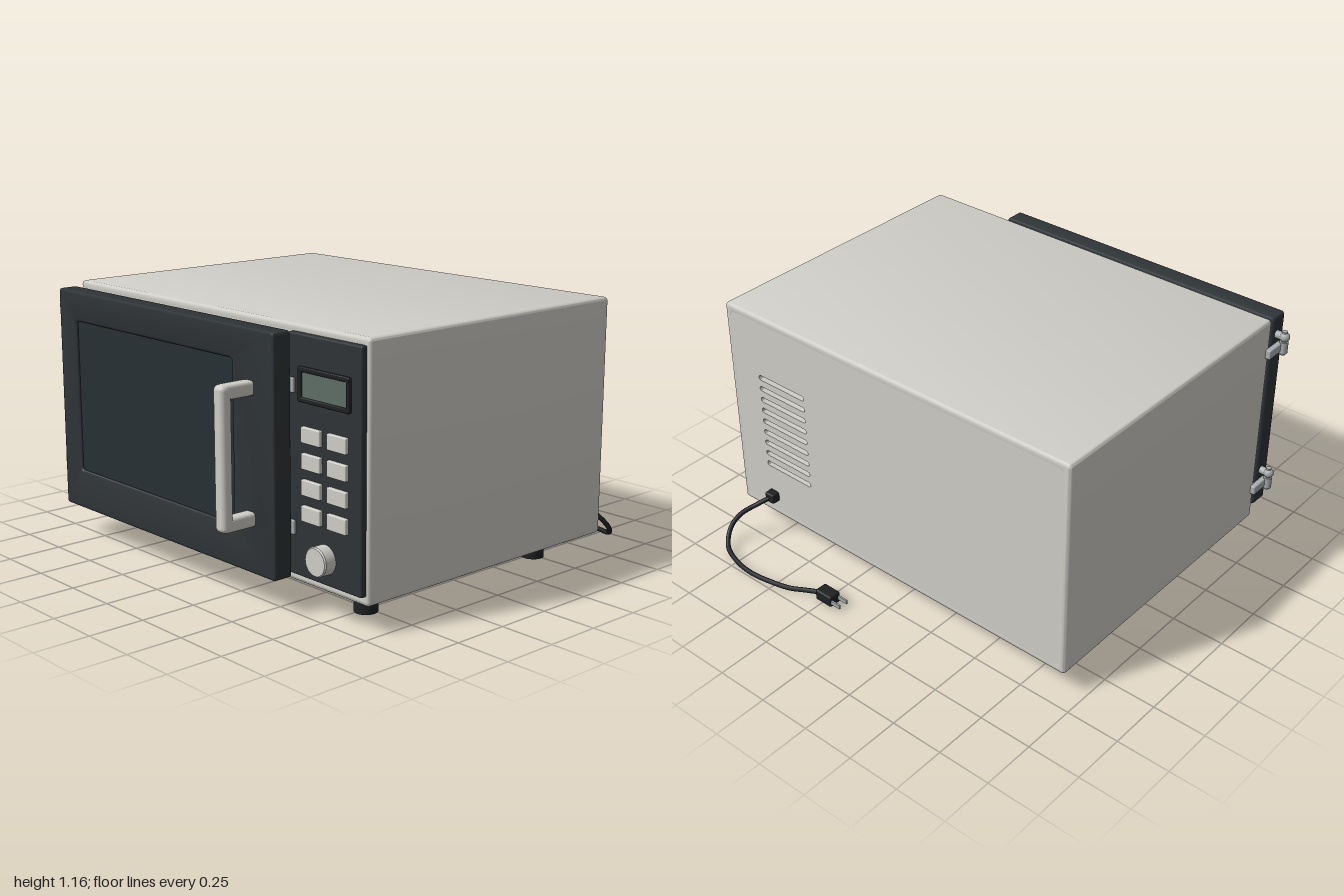
import * as THREE from 'three';
import { RoundedBoxGeometry } from 'three/addons/geometries/RoundedBoxGeometry.js';
import { toCreasedNormals } from 'three/addons/utils/BufferGeometryUtils.js';

const mat = (color) => new THREE.MeshStandardMaterial({ color });
const shellMat = mat(0xd0cec8), doorMat = mat(0x2f3437), glassMat = mat(0x263033);
const blackMat = mat(0x1e2022), screenMat = mat(0x5d6e66), metalMat = mat(0xa9adae);
const liningMat = mat(0x9a9a96);
liningMat.side = THREE.BackSide;

function add(parent, name, geometry, material, x = 0, y = 0, z = 0) {
  const mesh = new THREE.Mesh(geometry, material);
  mesh.name = name;
  mesh.position.set(x, y, z);
  parent.add(mesh);
  return mesh;
}

function group(parent, name) {
  const g = new THREE.Group();
  g.name = name;
  parent.add(g);
  return g;
}

// Box given by its limits, with optional rounded edges
function block(parent, name, material, [x0, x1], [y0, y1], [z0, z1], r = 0) {
  const size = [x1 - x0, y1 - y0, z1 - z0];
  const geo = r ? new RoundedBoxGeometry(...size, 3, r) : new THREE.BoxGeometry(...size);
  return add(parent, name, geo, material, (x0 + x1) / 2, (y0 + y1) / 2, (z0 + z1) / 2);
}

// Rounded rectangle outline, used for shapes and holes
function roundRect(x0, x1, y0, y1, r, Type = THREE.Shape) {
  const s = new Type();
  s.moveTo(x0 + r, y0);
  s.lineTo(x1 - r, y0);
  s.absarc(x1 - r, y0 + r, r, -Math.PI / 2, 0);
  s.lineTo(x1, y1 - r);
  s.absarc(x1 - r, y1 - r, r, 0, Math.PI / 2);
  s.lineTo(x0 + r, y1);
  s.absarc(x0 + r, y1 - r, r, Math.PI / 2, Math.PI);
  s.lineTo(x0, y0 + r);
  s.absarc(x0 + r, y0 + r, r, Math.PI, Math.PI * 1.5);
  return s;
}

// Extrude between two z values, keeping the bevel inside the outline
function slab(shape, z0, z1, bevel = 0) {
  const geo = new THREE.ExtrudeGeometry(shape, {
    depth: z1 - z0 - 2 * bevel, bevelEnabled: bevel > 0, bevelThickness: bevel,
    bevelSize: bevel, bevelOffset: -bevel, bevelSegments: 3, curveSegments: 5,
  });
  geo.translate(0, 0, z0 + bevel);
  return toCreasedNormals(geo, 0.6);
}

function cylinder(parent, name, material, r, h, x, y, z, axis = 'y') {
  const geo = new THREE.CylinderGeometry(r, r, h, 28);
  if (axis === 'x') geo.rotateZ(Math.PI / 2);
  if (axis === 'z') geo.rotateX(Math.PI / 2);
  return add(parent, name, geo, material, x, y, z);
}

// Casing: bevelled sleeve closed by a front plate and a slotted back plate
function buildBody(root) {
  const body = group(root, 'body');
  const X0 = -0.93, X1 = 0.975, Y0 = 0.115, Y1 = 1.165, Z0 = -0.69, Z1 = 0.71, b = 0.015;
  const inset = (d, r, Type) => roundRect(X0 + d, X1 - d, Y0 + d, Y1 - d, r, Type);

  const sleeve = inset(0, 0.018);
  sleeve.holes.push(inset(0.045, 0.02, THREE.Path));
  add(body, 'casing', slab(sleeve, Z0, Z1, b), shellMat);

  const front = inset(0.03, 0.035);
  front.holes.push(roundRect(-0.8, 0.38, 0.25, 1.05, 0.02, THREE.Path));
  add(body, 'frontPlate', slab(front, Z1 - 0.04, Z1), shellMat);
  block(body, 'cavity', liningMat, [-0.8, 0.38], [0.25, 1.05], [-0.45, 0.709]);

  const back = inset(0.03, 0.035);
  for (let i = 0; i < 9; i++) {
    const y = 0.39 + i * 0.0575;
    back.holes.push(roundRect(0.515, 0.795, y - 0.012, y + 0.012, 0.0115, THREE.Path));
  }
  add(body, 'backPlate', slab(back, Z0, Z0 + 0.03), shellMat);
  block(body, 'ventBacking', shellMat, [0.49, 0.82], [0.36, 0.88], [Z0 + 0.03, Z0 + 0.05]);

  for (const x of [-0.72, 0.765]) for (const z of [0.525, -0.49]) {
    cylinder(body, 'foot', blackMat, 0.05, 0.12, x, 0.06, z);
  }
}

// Door with sunken window, handle, latch hooks and hinges
function buildDoor(root) {
  const door = group(root, 'door');
  const frame = roundRect(-0.915, 0.575, 0.145, 1.145, 0.015);
  frame.holes.push(roundRect(-0.785, 0.32, 0.325, 1.01, 0.015, THREE.Path));
  add(door, 'doorFrame', slab(frame, 0.75, 0.84, 0.01), doorMat);
  block(door, 'window', glassMat, [-0.8, 0.335], [0.31, 1.025], [0.765, 0.829]);

  const handle = group(door, 'handle');
  block(handle, 'grip', shellMat, [0.395, 0.46], [0.345, 0.94], [0.945, 1.0], 0.022);
  for (const y of [0.345, 0.88]) {
    block(handle, 'handlePost', shellMat, [0.397, 0.458], [y, y + 0.06], [0.83, 0.985], 0.015);
  }

  for (const y of [0.355, 0.93]) {
    block(door, 'latchHook', metalMat, [0.55, 0.588], [y - 0.03, y + 0.03], [0.738, 0.752], 0.005);
  }

  for (const y of [0.28, 1.005]) {
    const hinge = group(root, 'hinge');
    block(hinge, 'bodyLeaf', metalMat, [-0.953, -0.925], [y - 0.022, y + 0.022], [0.68, 0.79], 0.006);
    cylinder(hinge, 'knuckle', metalMat, 0.02, 0.055, -0.955, y, 0.785);
    cylinder(hinge, 'pin', metalMat, 0.012, 0.115, -0.955, y + 0.02, 0.785);
    cylinder(hinge, 'doorArm', metalMat, 0.018, 0.06, -0.935, y + 0.05, 0.785, 'x');
    add(hinge, 'armEnd', new THREE.SphereGeometry(0.023, 16, 12), metalMat, -0.957, y + 0.05, 0.785);
  }
}

// Control panel: display, two columns of buttons and a knob
function buildControls(root) {
  const panel = group(root, 'controlPanel');
  block(panel, 'panelPlate', doorMat, [0.54, 0.96], [0.155, 1.135], [0.7, 0.736], 0.008);
  const bezel = roundRect(0.61, 0.905, 0.87, 1.01, 0.01);
  bezel.holes.push(roundRect(0.63, 0.887, 0.89, 0.99, 0.005, THREE.Path));
  add(panel, 'displayBezel', slab(bezel, 0.73, 0.75, 0.004), blackMat);
  block(panel, 'displayScreen', screenMat, [0.625, 0.892], [0.885, 0.995], [0.73, 0.742]);
  for (let row = 0; row < 4; row++) for (const x of [0.63, 0.778]) {
    const y = 0.392 + row * 0.106;
    block(panel, 'button', shellMat, [x, x + 0.11], [y, y + 0.065], [0.73, 0.752], 0.005);
  }
  const profile = [[0, 0], [0.061, 0], [0.061, 0.052], [0.056, 0.058], [0, 0.058]];
  const knob = new THREE.LatheGeometry(profile.map(([r, h]) => new THREE.Vector2(r, h)), 40);
  knob.rotateX(Math.PI / 2);
  add(panel, 'knob', toCreasedNormals(knob, 0.6), shellMat, 0.757, 0.262, 0.733);
}

// Power cord falling from the back to a plug on the ground
function buildCord(root) {
  const cord = group(root, 'powerCord');
  const path = new THREE.CatmullRomCurve3([
    [0.765, 0.22, -0.71], [0.8, 0.195, -0.77], [0.865, 0.135, -0.825], [0.882, 0.08, -0.875],
    [0.84, 0.03, -0.935], [0.74, 0.018, -0.975], [0.63, 0.015, -0.988], [0.52, 0.015, -0.975],
    [0.42, 0.015, -0.95], [0.35, 0.02, -0.918], [0.27, 0.03, -0.887],
  ].map((p) => new THREE.Vector3(...p)));
  add(cord, 'cable', new THREE.TubeGeometry(path, 90, 0.011, 10), blackMat);
  block(cord, 'strainRelief', blackMat, [0.738, 0.792], [0.195, 0.245], [-0.73, -0.68], 0.01);
  block(cord, 'plug', blackMat, [0.19, 0.285], [0.004, 0.06], [-0.92, -0.857], 0.01);
  for (const z of [-0.911, -0.868]) {
    block(cord, 'prong', metalMat, [0.14, 0.2], [0.022, 0.042], [z - 0.004, z + 0.004]);
  }
}

export function createModel() {
  const root = new THREE.Group();
  root.name = 'microwaveOven';
  buildBody(root);
  buildDoor(root);
  buildControls(root);
  buildCord(root);
  return root;
}
